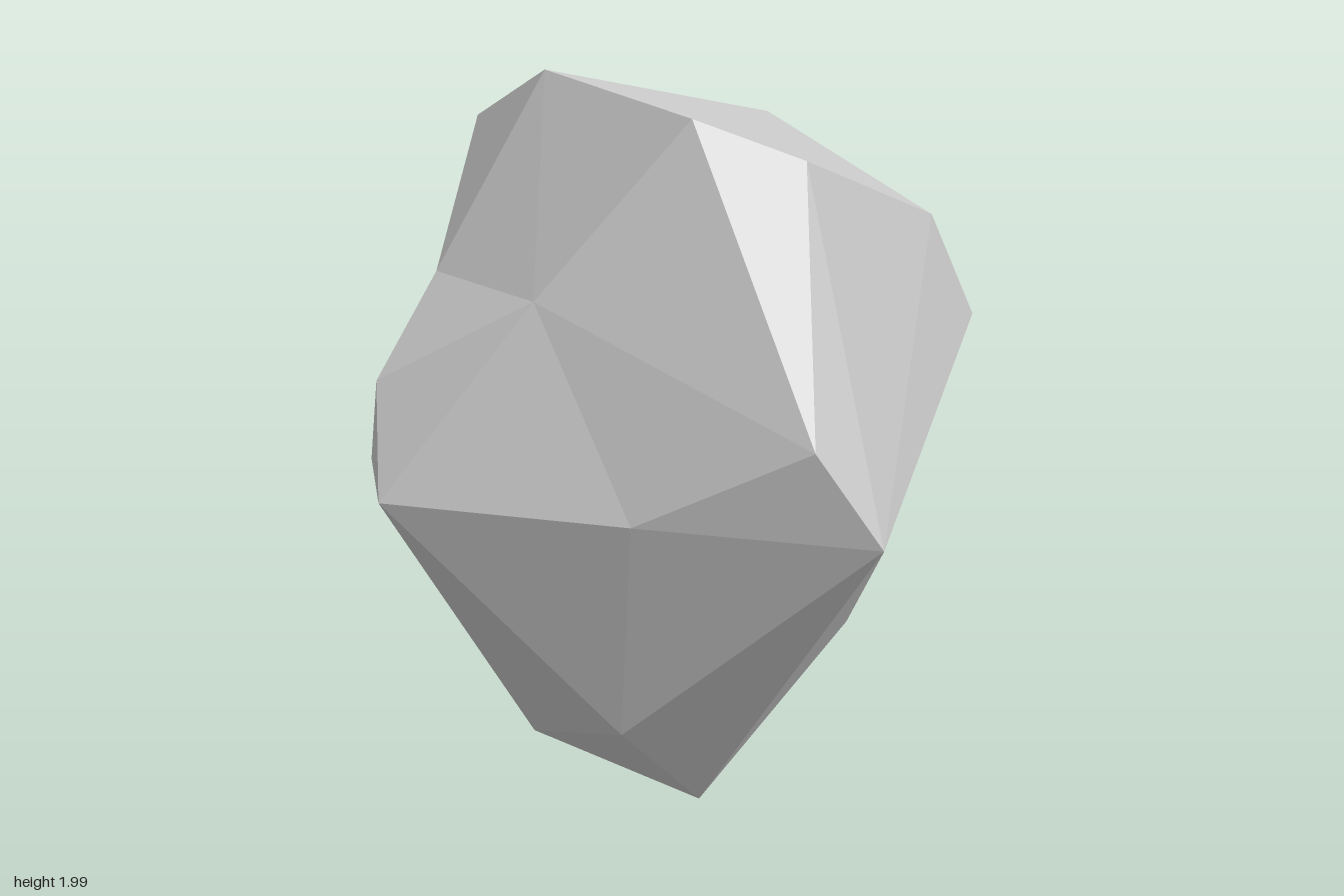
import * as THREE from 'three';

// Corners of the boulder, from the crown down to the foot
const corners = {
  // crown
  A: [-0.20, 1.985, 0.23], B: [0.46, 1.93, 0.325], C: [0.61, 1.83, 0.105], D: [-0.615, 1.825, 0.15],
  E: [-0.53, 1.895, -0.01], F: [-0.36, 1.785, -0.75], G: [0.335, 1.57, -0.70],
  // waist
  H: [0.295, 1.235, -0.965], I: [1.0, 1.02, 0.235], J: [0.895, 1.25, 0.355], K: [0.255, 1.52, 0.63],
  L: [-0.205, 1.51, 0.585], M: [0.08, 1.06, 0.965], N: [-0.07, 1.305, 0.86], O: [0.565, 1.045, 0.605],
  P: [-1.0, 1.245, -0.07], Q: [-0.965, 0.66, 0.14], R: [-0.893, 1.22, -0.48], S: [-0.33, 1.01, 0.73],
  // lower slopes and foot
  T: [0.425, 0.43, 0.52], U: [-0.115, 0.175, 0.385], V: [0.325, 0.062, 0.16], W: [-0.29, 0, 0.11],
  X: [-0.32, 0.79, 0.585], Y: [0.64, 0.635, -0.06], Z: [-0.285, 0.9, -0.79],
  a: [0.165, 0.255, -0.16], b: [-0.835, 0.515, 0.005],
};

// Facets fan out from a hub corner to the corners around it, counter-clockwise
const fans = {
  A: 'KBCGFED',  // top
  L: 'DPQSNKAD', // front upper hollow
  M: 'UTOKNS',   // front nose
  X: 'SQWUMS',   // front lower hollow
  J: 'OICBKO',   // left shoulder
  T: 'UVIO',     // front left slope
  Y: 'IVaHI',    // left flank
  H: 'aZRFGI',   // back
  R: 'bQPEF',    // right flank
  W: 'QbRZaVU',  // underside
  P: 'DE',
  C: 'IG',
};

function fanGeometry() {
  const positions = [];
  for (const [hub, ring] of Object.entries(fans)) {
    for (let i = 0; i < ring.length - 1; i++) {
      positions.push(...corners[hub], ...corners[ring[i]], ...corners[ring[i + 1]]);
    }
  }
  const geometry = new THREE.BufferGeometry();
  geometry.setAttribute('position', new THREE.Float32BufferAttribute(positions, 3));
  geometry.computeVertexNormals(); // unshared corners keep every facet flat
  return geometry;
}

export function createModel() {
  const stone = new THREE.MeshStandardMaterial({ color: 0xc5c5c5, flatShading: true });
  stone.name = 'stoneGrey';

  const boulder = new THREE.Mesh(fanGeometry(), stone);
  boulder.name = 'boulder';

  const model = new THREE.Group();
  model.name = 'rock';
  model.add(boulder);
  return model;
}
